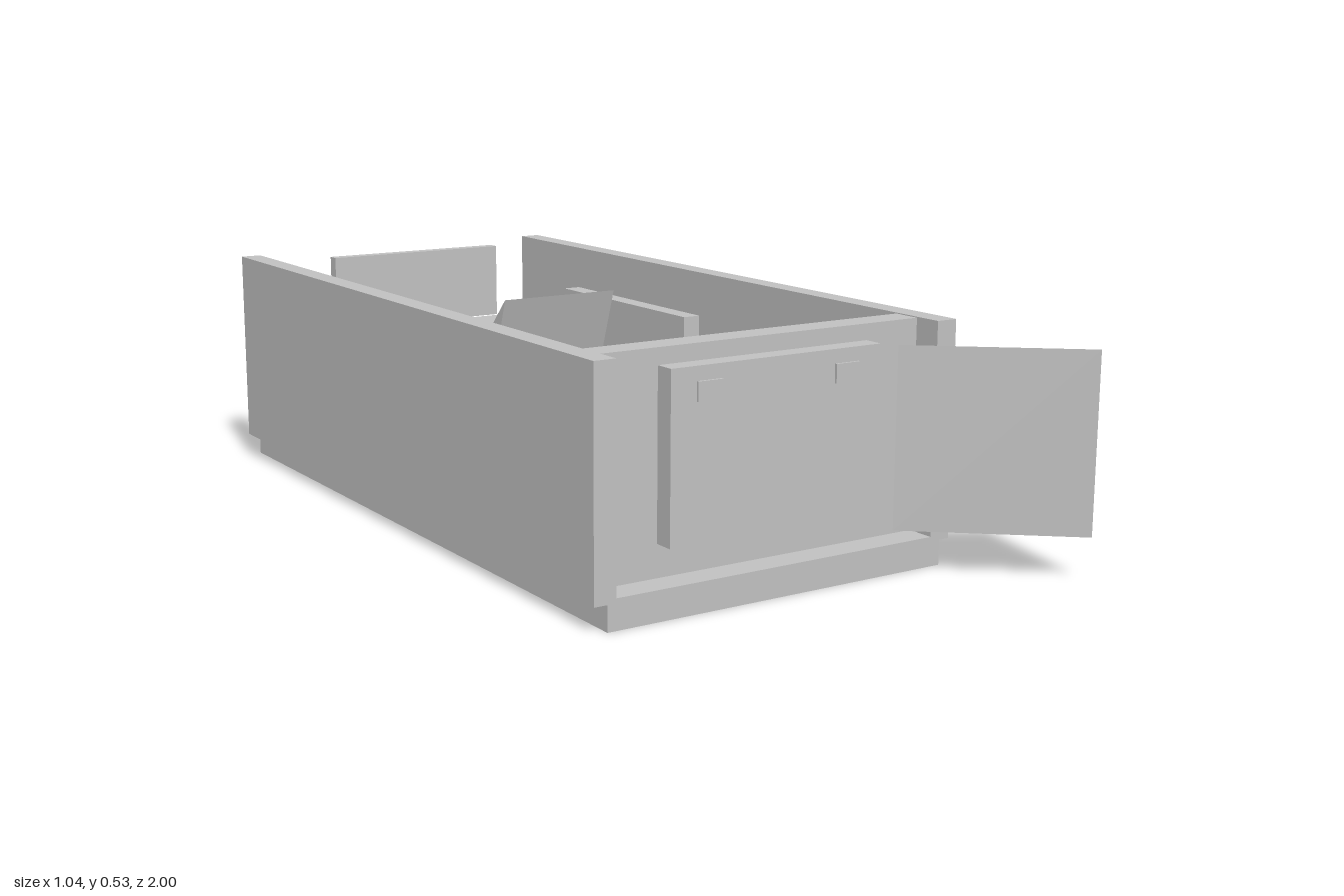
import * as THREE from 'three';

export function createModel() {
  const model = new THREE.Group();
  const grey = new THREE.MeshStandardMaterial({ color: 0xc0c0c0, side: THREE.DoubleSide });
  grey.name = 'plain grey';
  const midX = -0.0775; // centre line of the hull

  const add = (name, geometry) => {
    const mesh = new THREE.Mesh(geometry, grey);
    mesh.name = name;
    model.add(mesh);
    return mesh;
  };
  // Box given by its limits on each axis
  const box = (name, x0, x1, y0, y1, z0, z1) => {
    const mesh = add(name, new THREE.BoxGeometry(x1 - x0, y1 - y0, z1 - z0));
    mesh.position.set((x0 + x1) / 2, (y0 + y1) / 2, (z0 + z1) / 2);
    return mesh;
  };
  // Side profile of [z, y] points, extruded across x
  const profile = (name, points, x0, x1) => {
    const shape = new THREE.Shape(points.map(([z, y]) => new THREE.Vector2(-z, y)));
    const geometry = new THREE.ExtrudeGeometry(shape, { depth: x1 - x0, bevelEnabled: false });
    geometry.rotateY(Math.PI / 2);
    geometry.translate(x0, 0, 0);
    return add(name, geometry);
  };

  // Hull: base, floor and front wall; the back stays open
  box('base', -0.49, 0.34, 0, 0.055, -1, 0.74);
  box('floor', -0.47, 0.315, 0.055, 0.065, -1, 0.74);
  box('frontWall', -0.47, 0.315, 0.065, 0.525, 0.61, 0.675);

  // Mirrored side walls, wall cabinets and floor rails
  for (const [side, s] of [['right', -1], ['left', 1]]) {
    const strip = (name, inner, outer, y0, y1, z0, z1) => {
      const a = midX + s * inner, b = midX + s * outer;
      box(side + name, Math.min(a, b), Math.max(a, b), y0, y1, z0, z1);
    };
    strip('Wall', 0.3925, 0.4425, 0.055, 0.527, -1, 0.74);
    strip('Cabinet', 0.3475, 0.3925, 0.2, 0.42, -0.69, -0.12);
    strip('Rail', 0.3525, 0.3925, 0.065, 0.13, -0.71, 0.61);
  }

  // Front hatch panel with two small latches
  box('hatchPanel', -0.335, 0.18, 0.135, 0.49, 0.675, 0.72);
  for (const x of [-0.245, 0.0925]) {
    box('latch', x - 0.03, x + 0.03, 0.42, 0.46, 0.72, 0.726);
  }

  // Open door swung out past the left wall
  const door = add('openDoor', new THREE.PlaneGeometry(Math.hypot(0.31, 0.26), 0.392));
  door.position.set(0.365, 0.291, 0.87);
  door.rotation.y = -Math.atan2(0.26, 0.31);

  // Rear bench with an upright backrest
  box('bench', -0.4, 0.245, 0.065, 0.32, -0.94, -0.71);
  box('benchBackrest', -0.315, 0.16, 0.335, 0.523, -0.9, -0.87);

  // Floor plate and rail under the seat
  box('floorPlate', -0.295, 0.14, 0.065, 0.1, 0.1, 0.42);
  box('seatRail', -0.135, -0.02, 0.065, 0.1, -0.65, 0.1);

  // Seat facing the back, with a reclined backrest
  profile('seat', [[-0.41, 0.235], [-0.245, 0.28], [-0.2, 0.29], [-0.2, 0.2], [-0.41, 0.16]], -0.225, 0.07);
  profile('seatBackrest', [[-0.245, 0.28], [-0.18, 0.445], [-0.125, 0.502], [-0.2, 0.28]], -0.225, 0.07);
  box('seatPost', -0.135, -0.02, 0.1, 0.19, -0.36, -0.24);

  return model;
}
